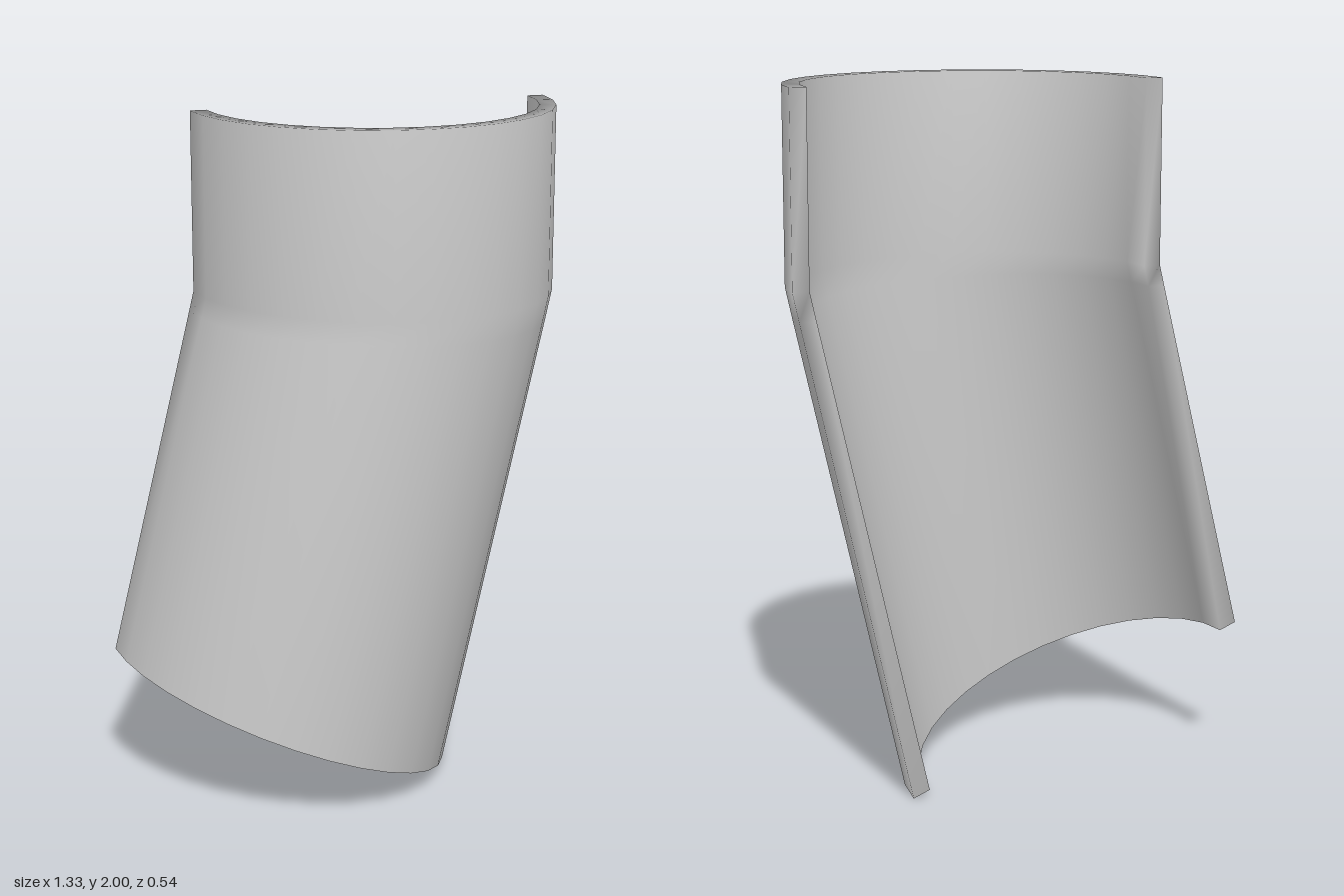
import * as THREE from 'three';

const SEGMENTS = 16;   // facets around the half circle
const BACK = -0.27;    // plane of the open back
const DEPTH = 0.54;    // outer radius along z
const WALL = 0.048;

// Rings from top to bottom: centre x, half width, y at centre, y rise towards +x
const RINGS = [
  { x: 0.125, r: 0.535, y: 2.0, tilt: 0 },
  { x: 0.125, r: 0.535, y: 1.47, tilt: -0.01 },
  { x: 0.109, r: 0.533, y: 1.4, tilt: -0.022 },
  { x: -0.17, r: 0.5, y: 0.205, tilt: -0.205 },
];

// Closed C-shaped section: outer arc there, inner arc back
function sectionPoints({ x, r, y, tilt }) {
  const points = [];
  const arcPoint = (angle, inset) => {
    const c = Math.cos(angle) * (r - inset);
    points.push(x + c, y + (tilt * c) / r, BACK + Math.sin(angle) * (DEPTH - inset));
  };
  for (let j = 0; j <= SEGMENTS; j++) arcPoint((Math.PI * j) / SEGMENTS, 0);
  for (let j = SEGMENTS; j >= 0; j--) arcPoint((Math.PI * j) / SEGMENTS, WALL);
  return points;
}

function bentHalfPipe() {
  const count = 2 * (SEGMENTS + 1);
  const index = [];
  const quad = (a, b, c, d) => index.push(a, b, c, a, c, d);

  // Outer wall, inner wall and the two long edges
  for (let i = 0; i < RINGS.length - 1; i++) {
    for (let j = 0; j < count; j++) {
      const k = (j + 1) % count;
      const top = i * count, low = top + count;
      quad(top + j, top + k, low + k, low + j);
    }
  }
  // Top and bottom rims
  const last = (RINGS.length - 1) * count;
  for (let j = 0; j < SEGMENTS; j++) {
    const inner = count - 1 - j;
    quad(j + 1, j, inner, inner - 1);
    quad(last + j, last + j + 1, last + inner - 1, last + inner);
  }

  const geometry = new THREE.BufferGeometry();
  geometry.setAttribute('position', new THREE.Float32BufferAttribute(RINGS.flatMap(sectionPoints), 3));
  geometry.setIndex(index);
  geometry.computeVertexNormals(); // smooth over the rims as well
  return geometry;
}

export function createModel() {
  const group = new THREE.Group();
  group.name = 'bentHalfPipe';
  const shell = new THREE.Mesh(bentHalfPipe(), new THREE.MeshStandardMaterial({ color: 0xcccccc }));
  shell.name = 'shell';
  group.add(shell);
  return group;
}
